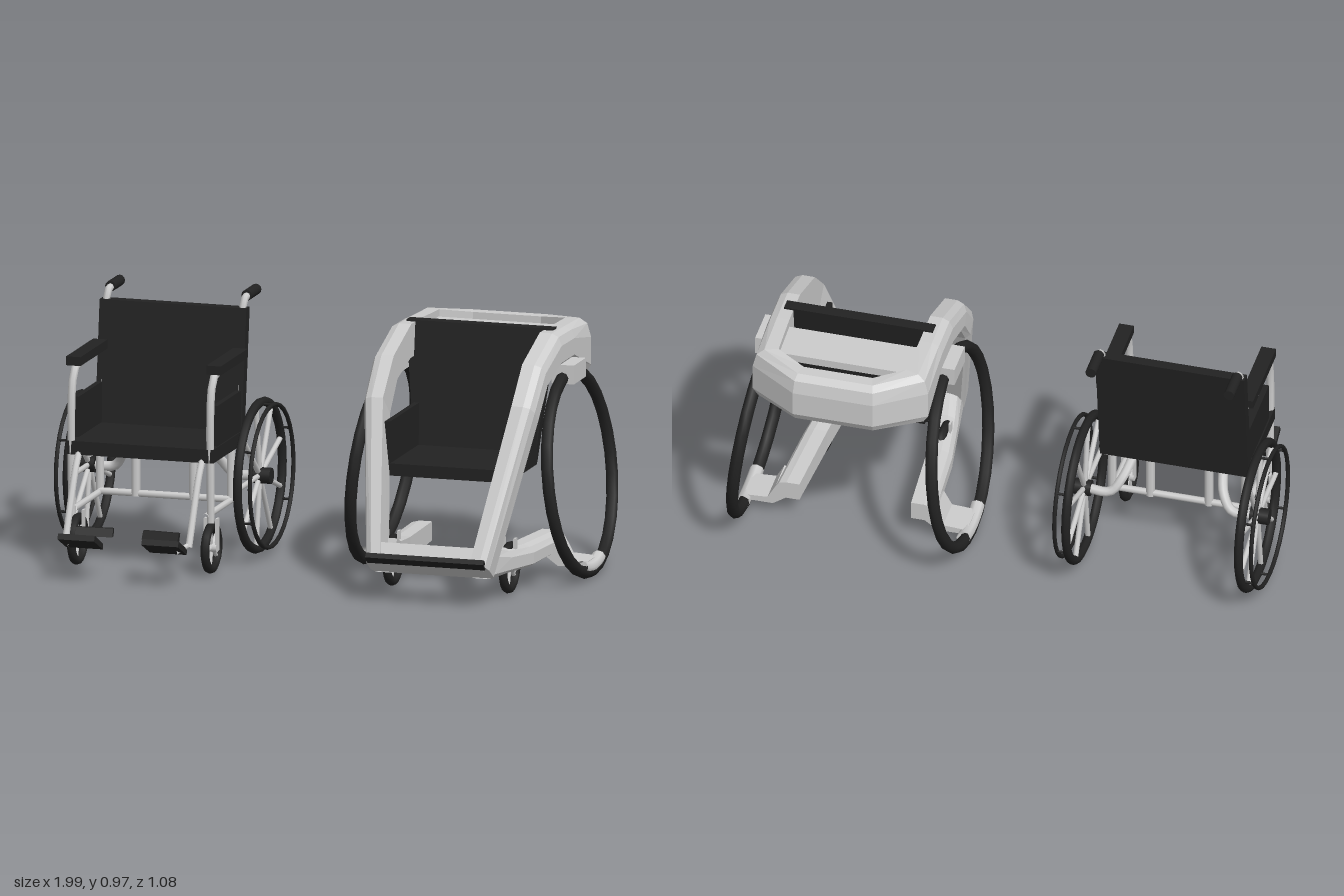
import * as THREE from 'three';

const grey = new THREE.MeshStandardMaterial({ color: 0xcccccc });
const greyFlat = new THREE.MeshStandardMaterial({ color: 0xcccccc, flatShading: true });
const black = new THREE.MeshStandardMaterial({ color: 0x222222 });
const blackFlat = new THREE.MeshStandardMaterial({ color: 0x222222, flatShading: true });
const V = (x, y, z) => new THREE.Vector3(x, y, z);

function add(parent, name, geometry, material, x = 0, y = 0, z = 0) {
  const mesh = new THREE.Mesh(geometry, material);
  mesh.name = name;
  mesh.position.set(x, y, z);
  parent.add(mesh);
  return mesh;
}

// Side profile of [z, y] points, extruded along x and centred on x = 0
function slab(profile, width) {
  const shape = new THREE.Shape(profile.map(([z, y]) => new THREE.Vector2(z, y)));
  const g = new THREE.ExtrudeGeometry(shape, { depth: width, bevelEnabled: false });
  return g.rotateY(-Math.PI / 2).translate(width / 2, 0, 0);
}

function box(x0, x1, y0, y1, z0, z1) {
  return new THREE.BoxGeometry(Math.abs(x1 - x0), y1 - y0, z1 - z0)
    .translate((x0 + x1) / 2, (y0 + y1) / 2, (z0 + z1) / 2);
}

function tube(points, radius) {
  const curve = new THREE.CatmullRomCurve3(points, false, 'centripetal');
  return new THREE.TubeGeometry(curve, points.length > 2 ? 16 : 1, radius, 8);
}

// Ring standing in the yz plane
const ring = (R, r, segments = 32) => new THREE.TorusGeometry(R, r, 8, segments).rotateY(Math.PI / 2);

// Chamfered section: u runs outer to inner, v runs top to bottom
const SECTION = [[1, 0], [0.45, 0], [0.15, 0.1], [0, 0.35], [0, 0.85], [0.2, 1], [1, 1]];

// Loft over stations [yTop, zTop, yBottom, zBottom, xOuter, xInner, inner z shift, side]
function loft(stations) {
  const pos = [], idx = [], n = SECTION.length, L = THREE.MathUtils.lerp;
  for (const [yT, zT, yB, zB, xo, xi, dz, side = 1] of stations)
    for (const [u, v] of SECTION) pos.push(side * L(xo, xi, u), L(yT, yB, v), L(zT, zB, v) + dz * u);
  for (let i = 0; i < stations.length - 1; i++)
    for (let j = 0; j < n; j++) {
      const a = i * n + j, b = i * n + (j + 1) % n;
      idx.push(a, b, a + n, b, b + n, a + n);
    }
  const end = (stations.length - 1) * n;
  for (let j = 1; j < n - 1; j++) idx.push(0, j + 1, j, end, end + j, end + j + 1);
  const g = new THREE.BufferGeometry();
  g.setAttribute('position', new THREE.Float32BufferAttribute(pos, 3));
  g.setIndex(idx);
  g.computeVertexNormals();
  return g;
}
const mirrored = (stations) => stations.map((s) => [...s.slice(0, 7), -1]).reverse();

function spokes(parent, count, inner, outer, radius) {
  for (let i = 0; i < count; i++) {
    const g = new THREE.CylinderGeometry(radius, radius, outer - inner, 8).translate(0, (inner + outer) / 2, 0);
    add(parent, 'spoke', g, grey).rotation.x = Math.PI / 2 + (i * 2 * Math.PI) / count;
  }
}

function caster(parent, x) {
  const g = new THREE.Group();
  g.name = 'caster';
  g.position.set(x, 0.1, 0.21);
  add(g, 'casterTire', ring(0.079, 0.017, 20), black);
  add(g, 'casterHub', new THREE.CylinderGeometry(0.018, 0.018, 0.045, 12).rotateZ(Math.PI / 2), grey);
  spokes(g, 5, 0.01, 0.075, 0.008);
  for (const s of [-1, 1]) add(g, 'casterFork', box(s * 0.018, s * 0.026, -0.01, 0.11, -0.012, 0.012), grey);
  parent.add(g);
  return g;
}

function seatShell(parent) {
  add(parent, 'seat', box(-0.23, 0.23, 0.425, 0.47, -0.07, 0.27), blackFlat);
}

function classicChair() {
  const c = new THREE.Group();
  c.name = 'classicWheelchair';
  add(c, 'seat', box(-0.28, 0.28, 0.425, 0.475, -0.07, 0.27), blackFlat);
  add(c, 'backrest', slab([[-0.07, 0.43], [-0.105, 0.43], [-0.17, 0.92], [-0.13, 0.92]], 0.56), blackFlat);
  add(c, 'crossTube', tube([V(-0.25, 0.23, -0.03), V(0.25, 0.23, -0.03)], 0.013), grey);
  for (const s of [-1, 1]) {
    // Drive wheel with hand rim
    const w = new THREE.Group();
    w.name = 'driveWheel';
    w.position.set(s * 0.325, 0.3, -0.15);
    add(w, 'tire', ring(0.27, 0.017), black);
    add(w, 'handRim', ring(0.262, 0.008), black).position.x = s * 0.045;
    add(w, 'hub', new THREE.CylinderGeometry(0.03, 0.03, 0.07, 16).rotateZ(Math.PI / 2), black).position.x = s * 0.01;
    spokes(w, 9, 0.02, 0.265, 0.01);
    for (let i = 0; i < 6; i++) {
      const peg = new THREE.CylinderGeometry(0.005, 0.005, 0.045, 6).rotateZ(Math.PI / 2).translate(s * 0.022, 0.265, 0);
      add(w, 'rimPeg', peg, black).rotation.x = (i * Math.PI) / 3;
    }
    c.add(w);

    // Frame tubes
    add(c, 'axleTube', tube([V(s * 0.32, 0.3, -0.15), V(s * 0.23, 0.3, -0.15), V(s * 0.19, 0.35, -0.12), V(s * 0.16, 0.43, 0)], 0.018), grey);
    add(c, 'innerPost', tube([V(s * 0.11, 0.22, -0.03), V(s * 0.11, 0.44, -0.03)], 0.017), grey);
    add(c, 'lowerRail', tube([V(s * 0.25, 0.225, 0.27), V(s * 0.25, 0.225, -0.05)], 0.012), grey);
    add(c, 'rearPost', tube([V(s * 0.25, 0.22, -0.04), V(s * 0.25, 0.44, -0.04)], 0.016), grey);
    add(c, 'backPost', tube([V(s * 0.26, 0.42, -0.08), V(s * 0.26, 0.88, -0.145), V(s * 0.26, 0.94, -0.16), V(s * 0.26, 0.955, -0.21)], 0.014), grey);
    add(c, 'pushHandle', new THREE.CylinderGeometry(0.02, 0.02, 0.115, 12).rotateX(Math.PI / 2), black, s * 0.26, 0.955, -0.253);

    // Armrest
    add(c, 'armTube', tube([V(s * 0.265, 0.2, 0.25), V(s * 0.265, 0.66, 0.25), V(s * 0.265, 0.73, 0.22), V(s * 0.265, 0.745, 0.15), V(s * 0.265, 0.745, -0.12)], 0.015), grey);
    add(c, 'armPad', box(s * 0.24, s * 0.295, 0.745, 0.778, -0.1, 0.225), blackFlat);
    add(c, 'sidePanel', box(s * 0.255, s * 0.275, 0.46, 0.625, -0.08, 0.2), blackFlat);
    caster(c, s * 0.255);

    // Footrest
    add(c, 'footTube', tube([V(s * 0.235, 0.43, 0.26), V(s * 0.235, 0.38, 0.3), V(s * 0.235, 0.14, 0.42)], 0.013), grey);
    add(c, 'heelStrap', slab([[0.43, 0.16], [0.41, 0.16], [0.4, 0.19], [0.415, 0.19]], 0.14), blackFlat, s * 0.16).rotation.y = s * -0.08;
    add(c, 'footBracket', tube([V(s * 0.235, 0.15, 0.415), V(s * 0.2, 0.13, 0.47)], 0.01), grey);
    add(c, 'footPlate', slab([[0.43, 0.115], [0.425, 0.135], [0.525, 0.185], [0.535, 0.165]], 0.14), blackFlat, s * 0.16);
  }
  return c;
}

function podChair() {
  const c = new THREE.Group();
  c.name = 'podWheelchair';

  // Shell frame: up from the front on one side, round the back and down the other
  const half = [
    [0.17, 0.53, 0.1, 0.425, 0.235, 0.17, 0],
    [0.71, 0.26, 0.635, 0.175, 0.325, 0.245, 0],
    [0.84, 0.13, 0.745, 0.085, 0.33, 0.245, 0],
    [0.915, -0.08, 0.79, -0.07, 0.33, 0.245, 0],
    [0.912, -0.23, 0.79, -0.23, 0.33, 0.245, 0],
    [0.905, -0.43, 0.7, -0.43, 0.33, 0.24, 0.03],
    [0.89, -0.54, 0.7, -0.54, 0.15, 0.13, 0.08],
  ];
  add(c, 'shellFrame', loft([...half, ...mirrored(half)]), greyFlat);
  add(c, 'frontCrossbar', slab([[0.525, 0.165], [0.425, 0.1], [0.39, 0.18], [0.49, 0.225]], 0.42), greyFlat);
  add(c, 'frontTrim', slab([[0.54, 0.175], [0.515, 0.15], [0.5, 0.16], [0.525, 0.19]], 0.45), blackFlat);
  add(c, 'rearShelf', box(-0.25, 0.25, 0.85, 0.88, -0.39, -0.23), greyFlat);

  // Bucket seat with a back that widens upwards
  seatShell(c);
  const back = slab([[-0.065, 0.43], [-0.1, 0.43], [-0.175, 0.92], [-0.13, 0.92]], 1);
  const p = back.attributes.position;
  for (let i = 0; i < p.count; i++) p.setX(i, p.getX(i) * (p.getY(i) > 0.7 ? 0.56 : 0.46));
  back.computeVertexNormals();
  add(c, 'backrest', back, blackFlat);

  const arm = [
    [0.22, 0.39, 0.1, 0.43, 0.235, 0.15, 0],
    [0.185, 0.28, 0.095, 0.28, 0.255, 0.17, 0],
    [0.165, 0.1, 0.083, 0.1, 0.28, 0.19, 0],
    [0.155, -0.22, 0.085, -0.22, 0.3, 0.21, 0],
  ];
  for (const s of [-1, 1]) {
    add(c, 'seatSide', box(s * 0.215, s * 0.235, 0.425, 0.625, -0.08, 0.27), blackFlat);
    add(c, 'lowerArm', loft(s > 0 ? arm : mirrored(arm)), greyFlat);

    // Cambered hubless wheel with its lower guide
    const w = new THREE.Group();
    w.name = 'hublessWheel';
    w.position.set(s * 0.375, 0.392, -0.15);
    w.rotation.z = s * 0.12;
    add(w, 'tire', ring(0.368, 0.023, 28), black);
    const guide = new THREE.TorusGeometry(0.352, 0.026, 8, 6, 0.6).rotateZ(-Math.PI / 2 - 0.3).rotateY(Math.PI / 2);
    add(w, 'lowerGuide', guide, new THREE.MeshStandardMaterial({ color: 0xcccccc, side: THREE.DoubleSide }));
    c.add(w);
    add(c, 'upperClamp', box(s * 0.29, s * 0.375, 0.73, 0.8, -0.225, -0.08), greyFlat);
    const bridge = new THREE.Shape([[0.24, 0.1], [0.3, 0.13], [0.33, 0.075], [0.42, 0.07], [0.42, 0.05], [0.31, 0.05]]
      .map(([x, y]) => new THREE.Vector2(s * x, y)));
    add(c, 'lowerBridge', new THREE.ExtrudeGeometry(bridge, { depth: 0.13, bevelEnabled: false }), greyFlat, 0, 0, -0.22);
    caster(c, s * 0.222);
  }
  return c;
}

export function createModel() {
  const model = new THREE.Group();
  model.name = 'wheelchairPair';
  const classic = classicChair();
  classic.position.x = -0.62;
  const pod = podChair();
  pod.position.x = 0.55;
  model.add(classic, pod);
  return model;
}
